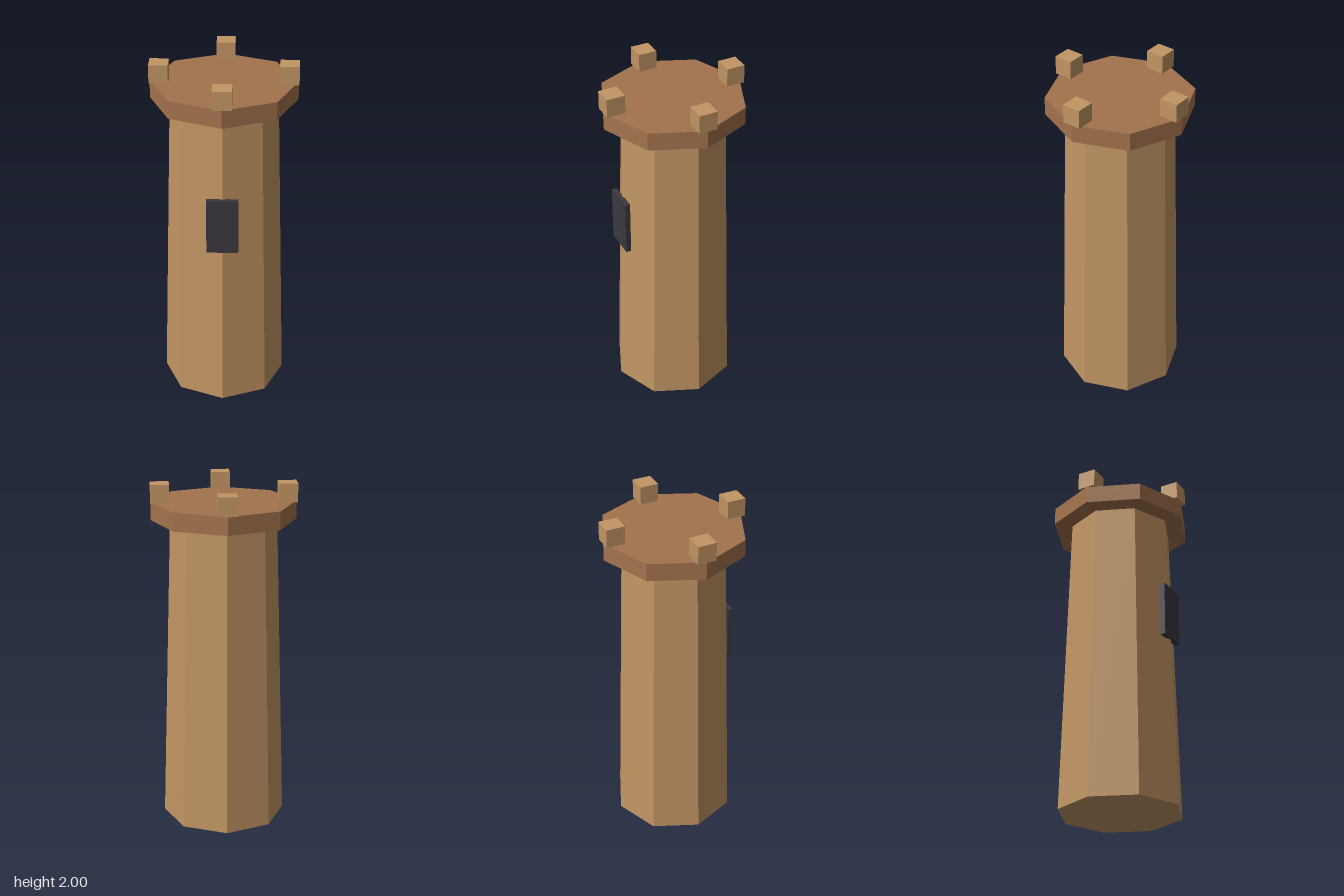
import * as THREE from 'three';

export function createModel() {
  const tower = new THREE.Group();
  tower.name = 'watchtower';

  const flat = (name, color) => new THREE.MeshStandardMaterial({ name, color, flatShading: true });
  const sandstone = flat('sandstone', 0xc29664);
  const brownStone = flat('brown stone', 0xa4734d);
  const dark = flat('dark window', 0x3a383f);

  const add = (name, geometry, material, x, y, z) => {
    const mesh = new THREE.Mesh(geometry, material);
    mesh.name = name;
    mesh.position.set(x, y, z);
    tower.add(mesh);
  };

  // Tapered octagonal shaft, with corners on the x and z axes
  const shaftHeight = 1.79;
  add('shaft', new THREE.CylinderGeometry(0.304, 0.358, shaftHeight, 8), sandstone, 0, shaftHeight / 2, 0);

  // Overhanging octagonal platform
  const platformHeight = 0.104;
  add('platform', new THREE.CylinderGeometry(0.413, 0.413, platformHeight, 8), brownStone,
    0, shaftHeight + platformHeight / 2, 0);

  // Four square merlons around the rim
  const size = 0.107;
  const merlon = new THREE.BoxGeometry(size, size, size);
  for (let i = 0; i < 4; i++) {
    const angle = (i * Math.PI) / 2;
    add('merlon', merlon, sandstone, Math.sin(angle) * 0.361, 2 - size / 2, Math.cos(angle) * 0.361);
  }

  // Window slab set into the front corner
  add('window', new THREE.BoxGeometry(0.179, 0.325, 0.03), dark, 0, 1.156, 0.325);

  return tower;
}
